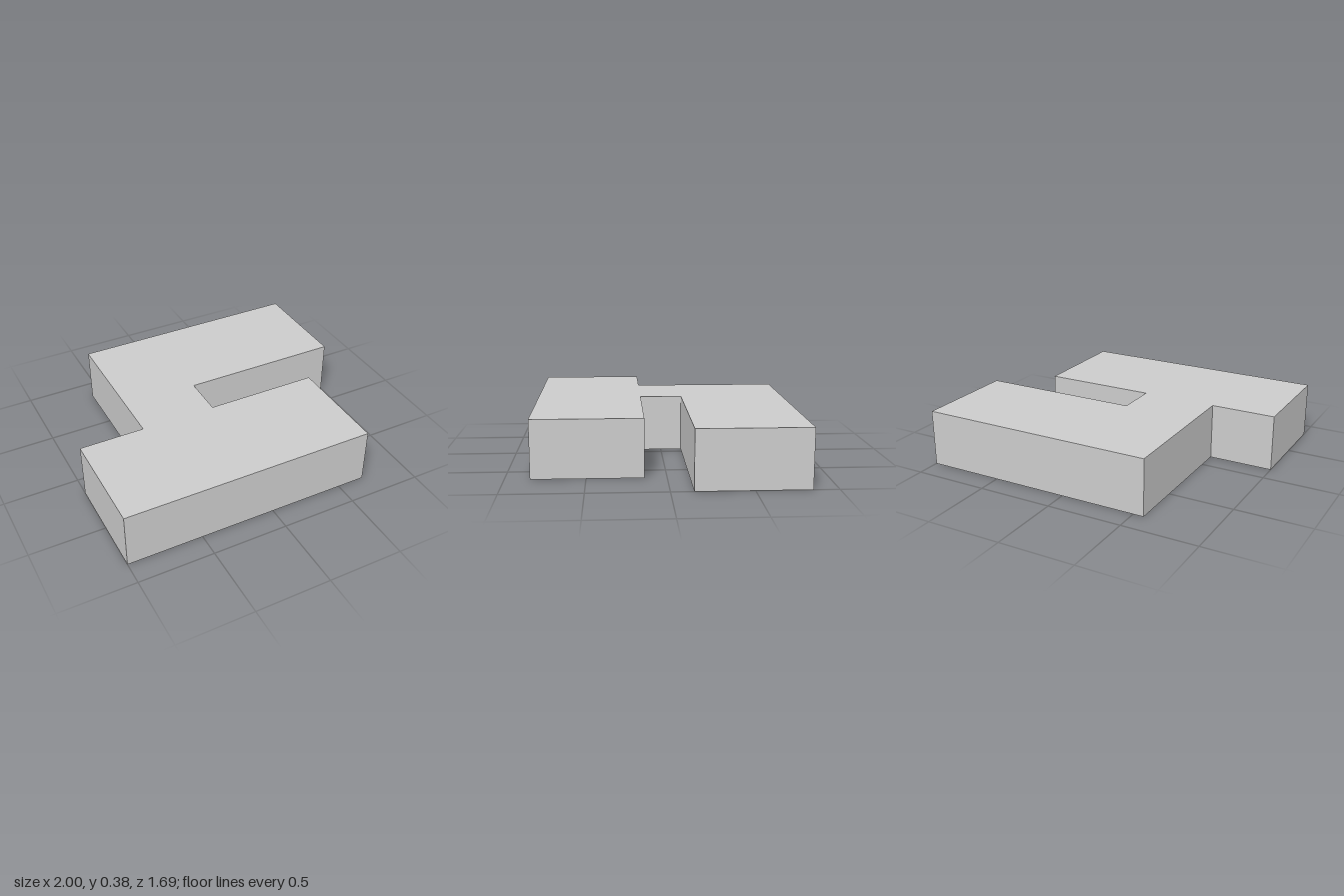
import * as THREE from 'three';

const HEIGHT = 0.375;

export function createModel() {
  const group = new THREE.Group();
  group.name = 'steppedBlock';

  // Plan outline as [x, z]: front bar, connecting neck and back bar in one slab
  const outline = [
    [-1, 0.843], [0.685, 0.843], [0.685, 0.14], [-0.068, 0.14],
    [-0.068, -0.14], [1, -0.14], [1, -0.843], [-0.57, -0.843],
    [-0.57, 0.14], [-1, 0.14],
  ];
  const shape = new THREE.Shape(outline.map(([x, z]) => new THREE.Vector2(x, -z)));

  // Extrude upward from the ground
  const geometry = new THREE.ExtrudeGeometry(shape, { depth: HEIGHT, bevelEnabled: false });
  geometry.rotateX(-Math.PI / 2);

  const material = new THREE.MeshStandardMaterial({ color: 0xcccccc, flatShading: true });
  const slab = new THREE.Mesh(geometry, material);
  slab.name = 'slab';
  group.add(slab);
  return group;
}
